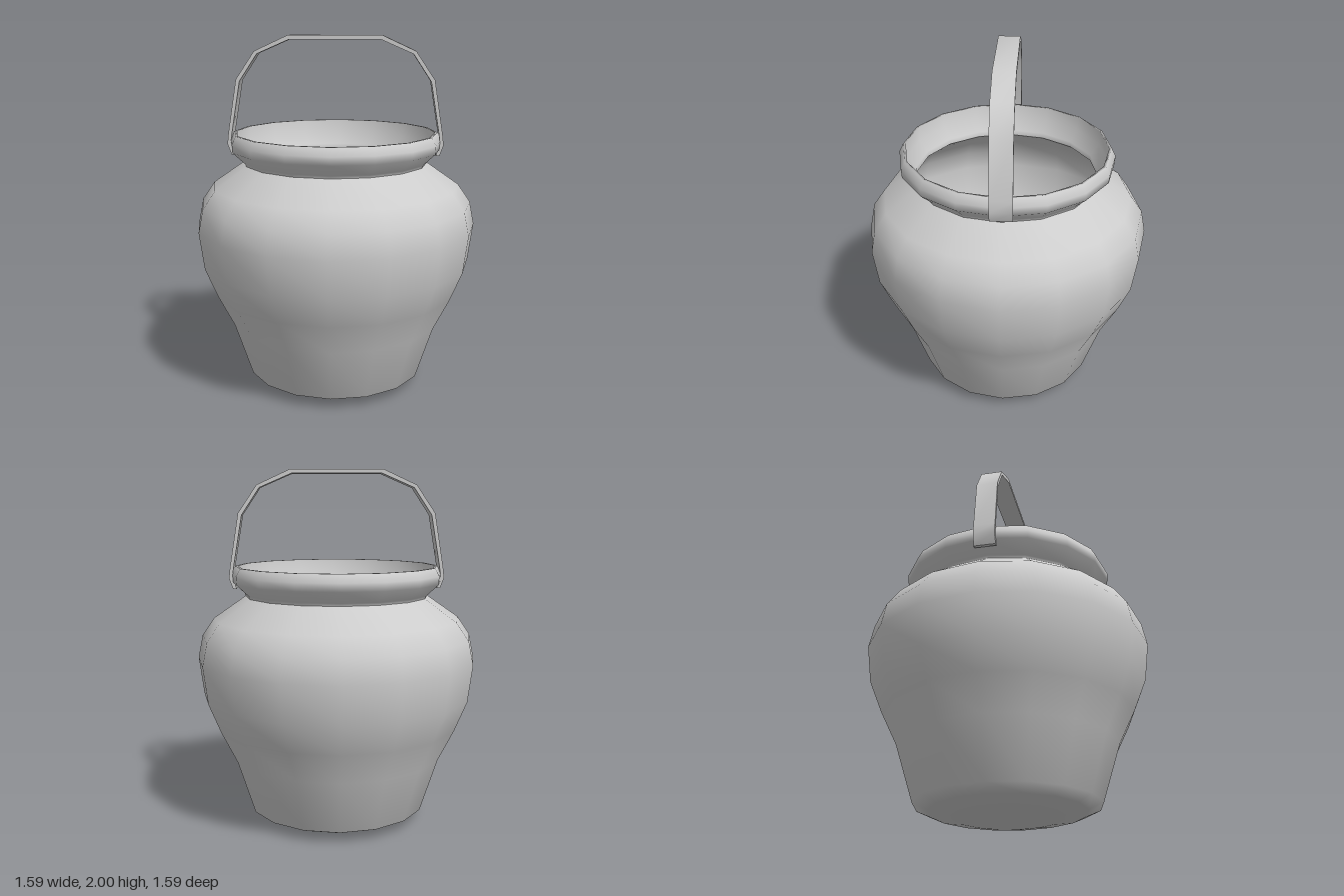
import * as THREE from 'three';
import { toCreasedNormals } from 'three/addons/utils/BufferGeometryUtils.js';

const SIDES = 16;

// Turned part from [radius, height] pairs
function turned(name, profile, material) {
  const points = profile.map(([r, y]) => new THREE.Vector2(r, y));
  const mesh = new THREE.Mesh(new THREE.LatheGeometry(points, SIDES), material);
  mesh.name = name;
  return mesh;
}

export function createModel() {
  const model = new THREE.Group();
  model.name = 'pot';
  const grey = new THREE.MeshStandardMaterial({ color: 0xcccccc });
  grey.name = 'light grey';

  // Outer belly, from the rounded base to the neck
  model.add(turned('body', [
    [0, 0.005], [0.3, 0.012], [0.43, 0.035], [0.51, 0.07], [0.61, 0.38], [0.7, 0.56],
    [0.77, 0.73], [0.797, 0.94], [0.77, 1.07], [0.7, 1.17], [0.52, 1.295],
  ], grey));

  // Flared lip, outside then over the edge and down into the neck
  model.add(turned('rim', [
    [0.52, 1.295], [0.525, 1.31], [0.595, 1.375], [0.598, 1.42], [0.575, 1.465],
    [0.56, 1.465], [0.56, 1.385], [0.51, 1.32], [0.508, 1.29],
  ], grey));

  // Hollow inside wall and floor
  model.add(turned('interior', [
    [0.508, 1.29], [0.68, 1.16], [0.75, 1.06], [0.775, 0.94], [0.75, 0.73],
    [0.68, 0.56], [0.59, 0.38], [0.49, 0.09], [0.41, 0.06], [0, 0.03],
  ], grey));

  // Flat band handle arching from side to side
  const outer = [[0.585, 1.34], [0.607, 1.4], [0.6, 1.46], [0.55, 1.76], [0.445, 1.915], [0.26, 2]];
  const inner = [[0.565, 1.34], [0.587, 1.41], [0.58, 1.46], [0.53, 1.75], [0.43, 1.9], [0.25, 1.978]];
  const mirror = (side) => side.map(([x, y]) => [-x, y]).reverse();
  const outline = [...outer, ...mirror(outer), ...mirror(inner).reverse(), ...[...inner].reverse()];
  const band = new THREE.ExtrudeGeometry(
    new THREE.Shape(outline.map(([x, y]) => new THREE.Vector2(x, y))),
    { depth: 0.12, bevelEnabled: false },
  ).translate(0, 0, -0.06);
  const handle = new THREE.Mesh(toCreasedNormals(band, 0.8), grey);
  handle.name = 'handle';
  model.add(handle);

  return model;
}
